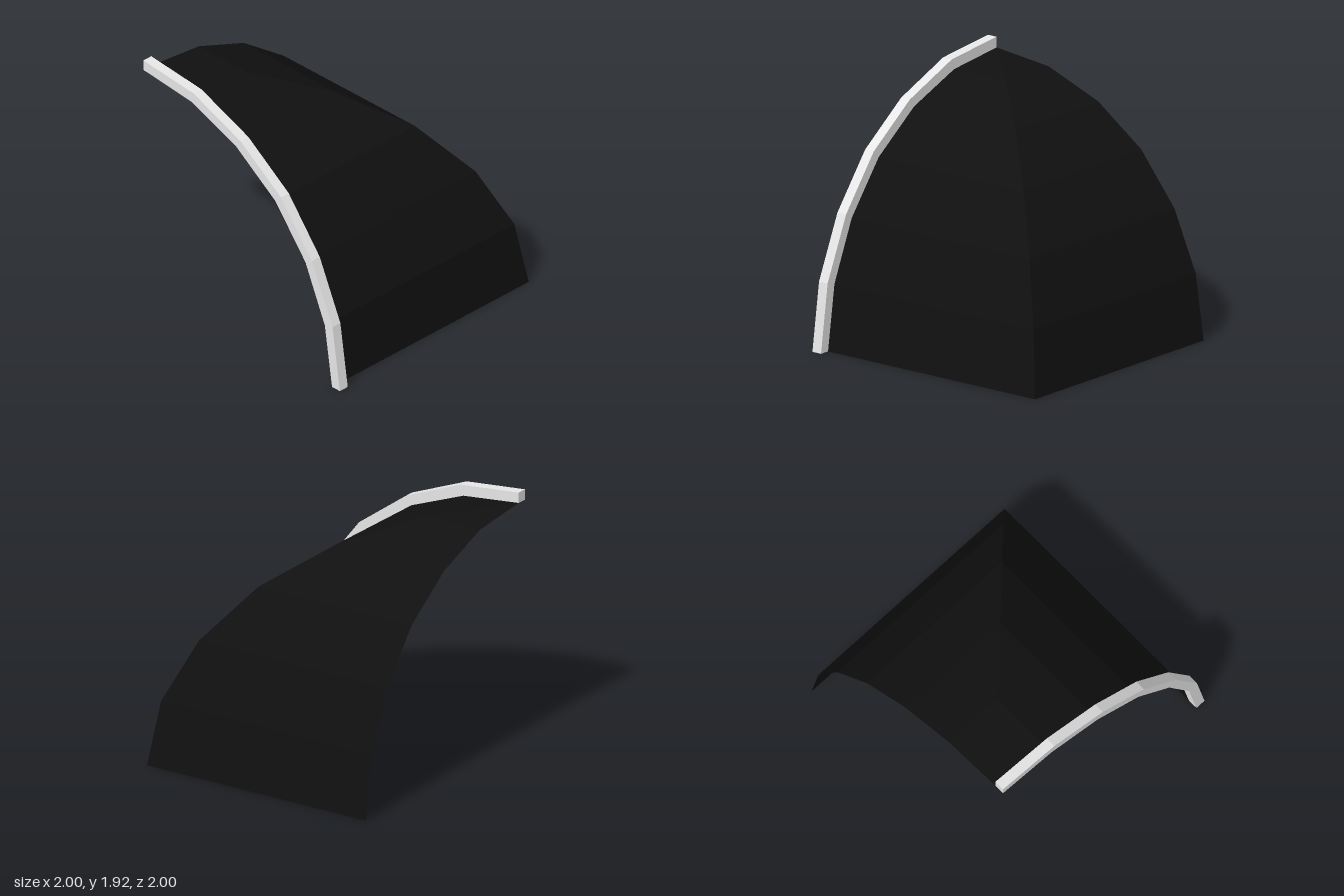
import * as THREE from 'three';

// Arc profiles as [z, y], from the ground up to the crown
const OUTER = [[1, 0], [0.925, 0.51], [0.715, 0.98], [0.4, 1.38], [-0.01, 1.675], [-0.49, 1.868], [-1, 1.92]];
const INNER = [[0.92, 0], [0.847, 0.49], [0.65, 0.94], [0.343, 1.325], [-0.06, 1.613], [-0.515, 1.788], [-1, 1.84]];
const RIB = 0.08; // rib width
const EDGE = -1 + RIB; // x where the shell meets the rib

// Faceted sheet lofted between two matching rows of points
function sheet(rowA, rowB, material) {
  const pos = [];
  for (let i = 0; i < rowA.length - 1; i++) {
    const [a, b, c, d] = [rowA[i], rowB[i], rowB[i + 1], rowA[i + 1]];
    pos.push(...a, ...b, ...c, ...a, ...c, ...d);
  }
  const geometry = new THREE.BufferGeometry();
  geometry.setAttribute('position', new THREE.Float32BufferAttribute(pos, 3));
  geometry.computeVertexNormals();
  return new THREE.Mesh(geometry, material);
}

export function createModel() {
  const group = new THREE.Group();
  const black = new THREE.MeshStandardMaterial({ color: 0x101010, side: THREE.DoubleSide, flatShading: true });
  black.name = 'black shell';
  const white = new THREE.MeshStandardMaterial({ color: 0xe6e6e6, flatShading: true });
  white.name = 'pale rib';

  // Two curved walls meeting along a diagonal hip
  const hip = INNER.map(([z, y]) => [z + RIB, y, z]);
  const frontWall = sheet(INNER.map(([z, y]) => [EDGE, y, z]), hip, black);
  frontWall.name = 'frontWall';
  const sideWall = sheet(hip, INNER.map(([z, y]) => [z + RIB, y, -1]), black);
  sideWall.name = 'sideWall';

  // Square arched rib along the open edge of the front wall
  const outline = [...OUTER, ...[...INNER].reverse()].map(([z, y]) => new THREE.Vector2(z, y));
  const ribGeometry = new THREE.ExtrudeGeometry(new THREE.Shape(outline), { depth: RIB, bevelEnabled: false });
  ribGeometry.rotateY(-Math.PI / 2).translate(EDGE, 0, 0);
  const rib = new THREE.Mesh(ribGeometry, white);
  rib.name = 'archRib';

  group.add(frontWall, sideWall, rib);
  return group;
}
